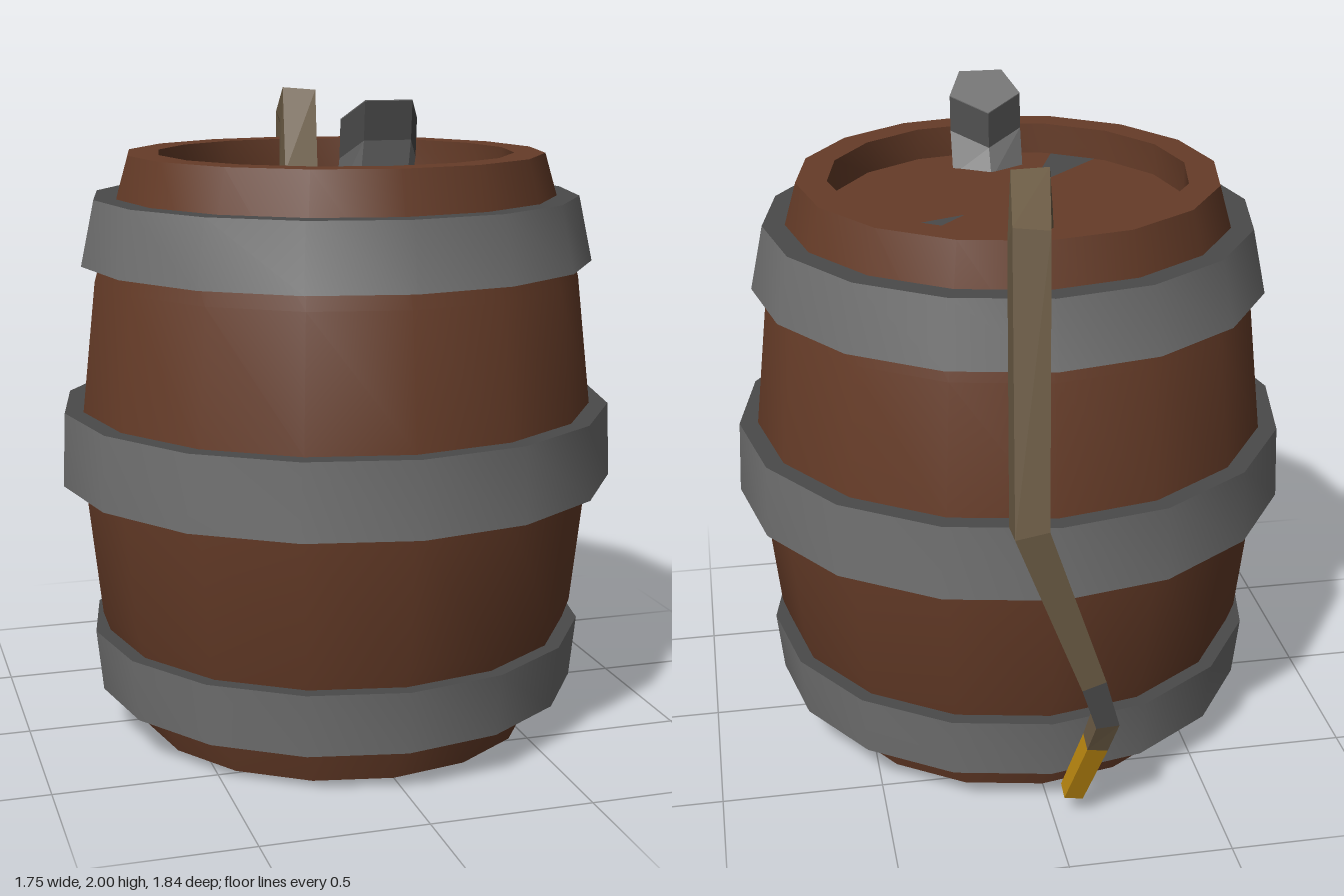
import * as THREE from 'three';
import { toCreasedNormals } from 'three/addons/utils/BufferGeometryUtils.js';

const SIDES = 16;
const CENTRE_Z = 0.045;

const material = (name, color) => {
  const m = new THREE.MeshStandardMaterial({ color });
  m.name = name;
  return m;
};

// Revolved profile of [radius, y] pairs, smooth around and sharp at its corners
function turned(profile) {
  const points = profile.map(([r, y]) => new THREE.Vector2(r, y));
  return toCreasedNormals(new THREE.LatheGeometry(points, SIDES), 0.5);
}

// Flat-faced solid through matching rings of corners, closed at both ends
function loft(rings) {
  const pos = [];
  const tri = (...corners) => corners.forEach((p) => pos.push(p.x, p.y, p.z));
  const n = rings[0].length;
  for (let k = 0; k < rings.length - 1; k++) {
    const a = rings[k], b = rings[k + 1];
    for (let i = 0; i < n; i++) {
      const j = (i + 1) % n;
      tri(a[i], a[j], b[j]);
      tri(a[i], b[j], b[i]);
    }
  }
  const first = rings[0], last = rings[rings.length - 1];
  for (let i = 1; i < n - 1; i++) {
    tri(first[0], first[i + 1], first[i]);
    tri(last[0], last[i], last[i + 1]);
  }
  const g = new THREE.BufferGeometry();
  g.setAttribute('position', new THREE.Float32BufferAttribute(pos, 3));
  g.computeVertexNormals();
  return g;
}

// Mitred rectangular sections along a path of [x, y, z, width, thickness]
function hoseRings(path) {
  const pts = path.map(([x, y, z]) => new THREE.Vector3(x, y, z));
  const dir = (i) => pts[i + 1].clone().sub(pts[i]).normalize();
  return path.map(([, , , w, t], i) => {
    const before = dir(Math.max(i - 1, 0));
    const after = dir(Math.min(i, pts.length - 2));
    const tangent = before.clone().add(after).normalize();
    const u = new THREE.Vector3(1, 0, 0).addScaledVector(tangent, -tangent.x).normalize();
    const v = tangent.clone().cross(u);
    const half = t / 2 / tangent.dot(after);
    return [[1, 1], [-1, 1], [-1, -1], [1, -1]].map(([a, b]) =>
      pts[i].clone().addScaledVector(u, a * w / 2).addScaledVector(v, b * half));
  });
}

export function createModel() {
  const model = new THREE.Group();
  model.name = 'barrel';

  const wood = material('brown wood', 0x663c28);
  const iron = material('grey iron', 0x707070);
  const darkIron = material('dark iron', 0x4a4a4a);
  const leather = material('tan hose', 0x6c5c45);
  const brass = material('gold nozzle', 0xbf8a10);

  const add = (name, geometry, mat, parent = model) => {
    const mesh = new THREE.Mesh(geometry, mat);
    mesh.name = name;
    parent.add(mesh);
    return mesh;
  };

  // Barrel body with a raised rim around the sunken lid
  const lidY = 1.72;
  add('barrelBody', turned([
    [0, 0], [0.625, 0], [0.76, 0.39], [0.805, 0.81], [0.815, 0.93], [0.805, 1.04],
    [0.76, 1.44], [0.65, 1.82], [0.555, 1.82], [0.555, lidY], [0, lidY],
  ]), wood).position.z = CENTRE_Z;

  // Hoops: lower radius, lower y, upper radius, upper y
  const hoops = [
    ['lowerHoop', 0.765, 0.135, 0.785, 0.33],
    ['middleHoop', 0.873, 0.81, 0.863, 1.04],
    ['upperHoop', 0.8, 1.49, 0.757, 1.69],
  ];
  for (const [name, r0, y0, r1, y1] of hoops) {
    const hoop = new THREE.Group();
    hoop.name = name;
    hoop.position.z = CENTRE_Z;
    add('hoopFace', turned([[r0, y0], [r1, y1]]), iron, hoop);
    add('hoopTopEdge', turned([[r1, y1], [r1 - 0.12, y1]]), darkIron, hoop);
    add('hoopBottomEdge', turned([[r0 - 0.12, y0], [r0, y0]]), darkIron, hoop);
    model.add(hoop);
  }

  // Wedge-shaped plates set flat in the lid, as [x, z] corners
  const wedges = [
    [[0.15, -0.05], [0.50, -0.18], [0.41, -0.33]],
    [[-0.10, 0.20], [-0.36, 0.455], [-0.23, 0.54]],
  ];
  for (const corners of wedges) {
    const shape = new THREE.Shape(corners.map(([x, z]) => new THREE.Vector2(x, -z)));
    const plate = new THREE.ShapeGeometry(shape).rotateX(-Math.PI / 2);
    add('lidWedge', plate, darkIron).position.y = lidY + 0.002;
  }

  // Five-sided spout with a slanted cap
  const outline = [[0.115, 0.49], [0, 0.42], [-0.115, 0.49], [-0.07, 0.58], [0.07, 0.58]];
  const section = (height, shift) =>
    outline.map(([x, z]) => new THREE.Vector3(x, height(z), z + shift));
  const slant = (z) => 2 - (0.58 - z) * 0.625;
  const bottom = section(() => lidY - 0.02, -0.06);
  const middle = section((z) => slant(z) - 0.11, -0.01);
  const top = section(slant, 0);
  const spout = new THREE.Group();
  spout.name = 'spout';
  add('spoutStem', loft([bottom, middle]), iron, spout);
  add('spoutCollar', loft([middle, top]), darkIron, spout);
  add('spoutCap', loft([top, section((z) => slant(z) + 0.003, 0)]), iron, spout);
  model.add(spout);

  // Hose rising from the lid, bending over the rim and hanging down the back
  const rings = hoseRings([
    [0.00, 1.70, -0.378, 0.11, 0.085],
    [0.03, 1.935, -0.50, 0.11, 0.09],
    [0.075, 1.87, -0.71, 0.105, 0.09],
    [0.10, 1.07, -0.868, 0.10, 0.095],
    [-0.09, 0.55, -0.852, 0.075, 0.075],
    [-0.135, 0.405, -0.845, 0.07, 0.07],
    [-0.115, 0.30, -0.81, 0.065, 0.062],
    [-0.06, 0.08, -0.742, 0.06, 0.055],
  ]);
  add('hose', loft(rings.slice(0, 5)), leather);
  add('hoseCollar', loft(rings.slice(4, 6)), darkIron);
  add('hoseEnd', loft(rings.slice(5, 7)), leather);
  add('nozzle', loft(rings.slice(6)), brass);

  return model;
}
